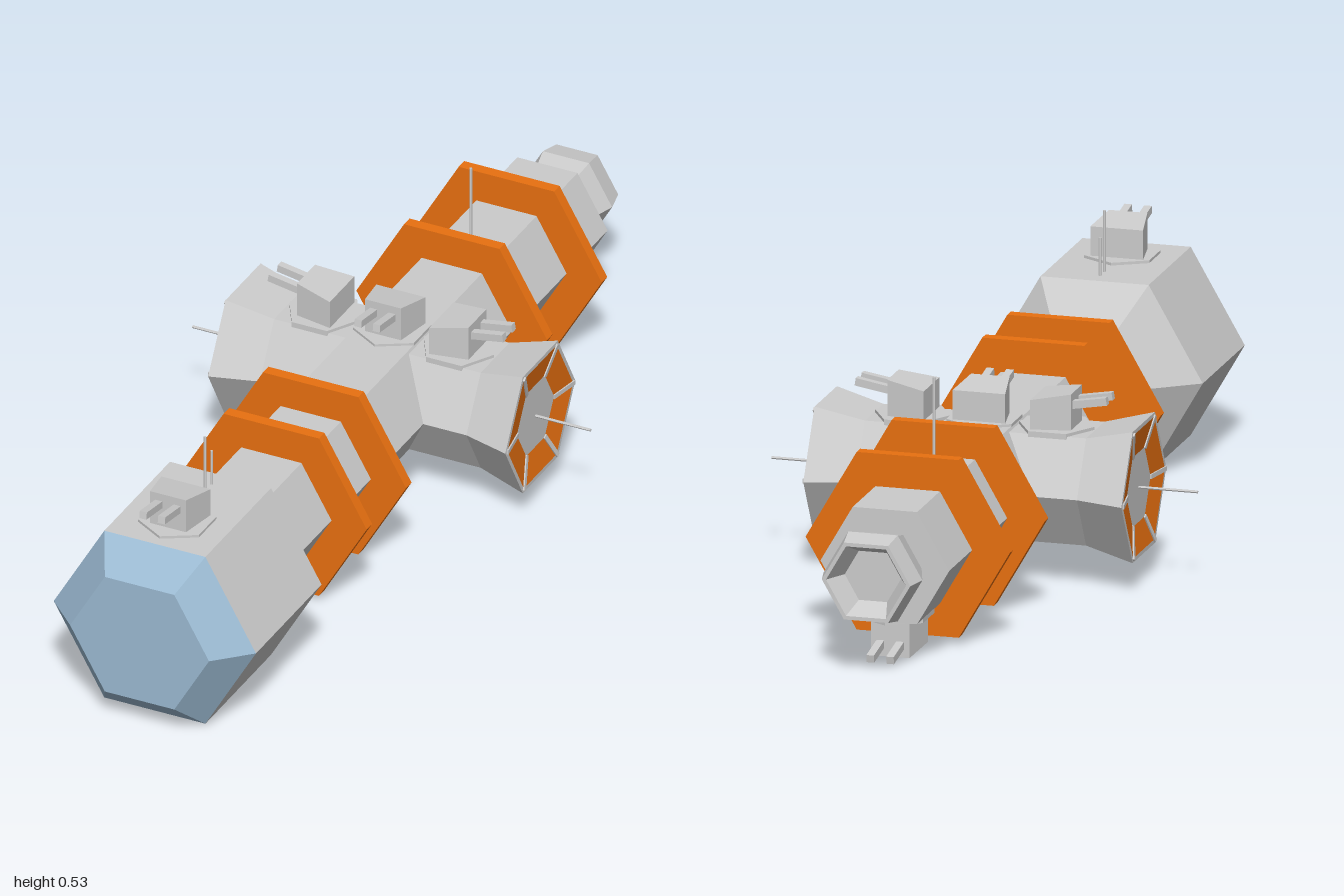
import * as THREE from 'three';

const grey = new THREE.MeshStandardMaterial({ color: 0xcccccc, flatShading: true });
const orange = new THREE.MeshStandardMaterial({ color: 0xe87010, flatShading: true });
const blue = new THREE.MeshStandardMaterial({ color: 0x9bbad2, flatShading: true });
const AXIS = 0.206; // height of the ship's long axis

function add(parent, name, geometry, material, x = 0, y = 0, z = 0) {
  const mesh = new THREE.Mesh(geometry, material);
  mesh.name = name;
  mesh.position.set(x, y, z);
  parent.add(mesh);
  return mesh;
}

// Six-sided body from [radius, position] pairs; positions ascend for outer walls
function hexBody(profile, along) {
  const points = profile.map(([r, p]) => new THREE.Vector2(r, p));
  const geo = new THREE.LatheGeometry(points, 6, along === 'z' ? Math.PI / 2 : 0).toNonIndexed();
  if (along === 'z') geo.rotateX(Math.PI / 2);
  else geo.rotateZ(-Math.PI / 2);
  geo.computeVertexNormals();
  return geo;
}

// Twin-barrel turret standing on y = 0 and aiming along +z
function turret(parent, name, x, y, z) {
  const group = new THREE.Group();
  group.name = name;
  group.position.set(x, y, z);
  add(group, 'turretBase', new THREE.CylinderGeometry(0.08, 0.08, 0.012, 6), grey);

  // Housing narrows to the front, its roof falls to the back
  const housing = new THREE.BoxGeometry(0.112, 0.082, 0.082).translate(0, 0.041, 0.001);
  const pos = housing.attributes.position;
  for (let i = 0; i < pos.count; i++) {
    if (pos.getZ(i) > 0) pos.setX(i, pos.getX(i) * 0.73);
    else if (pos.getY(i) > 0.05) pos.setY(i, 0.068);
  }
  housing.computeVertexNormals();
  add(group, 'turretHousing', housing, grey);

  for (const side of [-1, 1]) {
    const barrel = add(group, 'turretBarrel', new THREE.BoxGeometry(0.016, 0.016, 0.095), grey, side * 0.021, 0.061, 0.067);
    barrel.rotation.x = -0.17;
  }
  parent.add(group);
  return group;
}

function antenna(parent, y0, y1, z) {
  add(parent, 'antenna', new THREE.CylinderGeometry(0.003, 0.003, y1 - y0, 6), grey, 0, (y0 + y1) / 2, z);
}

// Side arm pointing along +x, with a flared end, orange panels and an antenna
function sideArm(name) {
  const arm = new THREE.Group();
  arm.name = name;
  add(arm, 'armBody', hexBody([[0.131, 0], [0.131, 0.235], [0.16, 0.338], [0.15, 0.338]], 'x'), grey);
  add(arm, 'armEndPanels', hexBody([[0.15, 0.338], [0.085, 0.327]], 'x'), orange);
  add(arm, 'armEndHub', hexBody([[0.085, 0.327], [0, 0.327]], 'x'), grey);
  for (let i = 0; i < 6; i++) {
    const spoke = new THREE.BoxGeometry(0.008, 0.01, 0.072);
    spoke.rotateY(0.168).translate(0.332, 0, 0.118).rotateX(i * Math.PI / 3);
    add(arm, 'armEndSpoke', spoke, grey);
  }
  const rod = new THREE.CylinderGeometry(0.003, 0.003, 0.13, 6).rotateZ(Math.PI / 2);
  add(arm, 'armAntenna', rod, grey, 0.388, 0, 0);
  turret(arm, 'armTurret', 0.153, 0.114, 0).rotation.y = Math.PI / 2;
  return arm;
}

export function createModel() {
  const ship = new THREE.Group();
  ship.name = 'spaceship';

  // Hull: long hexagonal body, wider head and blue nose
  add(ship, 'hull', hexBody([
    [0, -0.865], [0.137, -0.865], [0.137, 0.56], [0.23, 0.63], [0.23, 0.93],
  ], 'z'), grey, 0, AXIS, 0);
  add(ship, 'nose', hexBody([[0.23, 0.93], [0.158, 1], [0, 1]], 'z'), blue, 0, AXIS, 0);

  // Hollow engine nozzle
  add(ship, 'engine', hexBody([
    [0, -0.95], [0.06, -0.95], [0.085, -1], [0.094, -1], [0.105, -0.95], [0.078, -0.865],
  ], 'z'), grey, 0, AXIS, 0);

  // Orange collars round the hull
  for (const z of [0.385, 0.205, -0.44, -0.69]) {
    add(ship, 'collar', hexBody([
      [0.13, -0.0125], [0.217, -0.0125], [0.217, 0.0125], [0.13, 0.0125],
    ], 'z'), orange, 0, AXIS, z);
  }

  // Mirrored side arms
  for (const [name, turn] of [['leftArm', 0], ['rightArm', Math.PI]]) {
    const arm = sideArm(name);
    arm.position.set(0, AXIS, -0.153);
    arm.rotation.y = turn;
    ship.add(arm);
  }

  // Turrets on the head, the middle and under the tail
  turret(ship, 'headTurret', 0, 0.405, 0.828);
  turret(ship, 'middleTurret', 0, 0.324, -0.155);
  turret(ship, 'tailTurret', 0, 0.085, -0.785).rotation.x = Math.PI;

  antenna(ship, 0.4, 0.535, 0.7);
  antenna(ship, 0.4, 0.485, 0.67);
  antenna(ship, 0.32, 0.51, -0.515);
  return ship;
}
